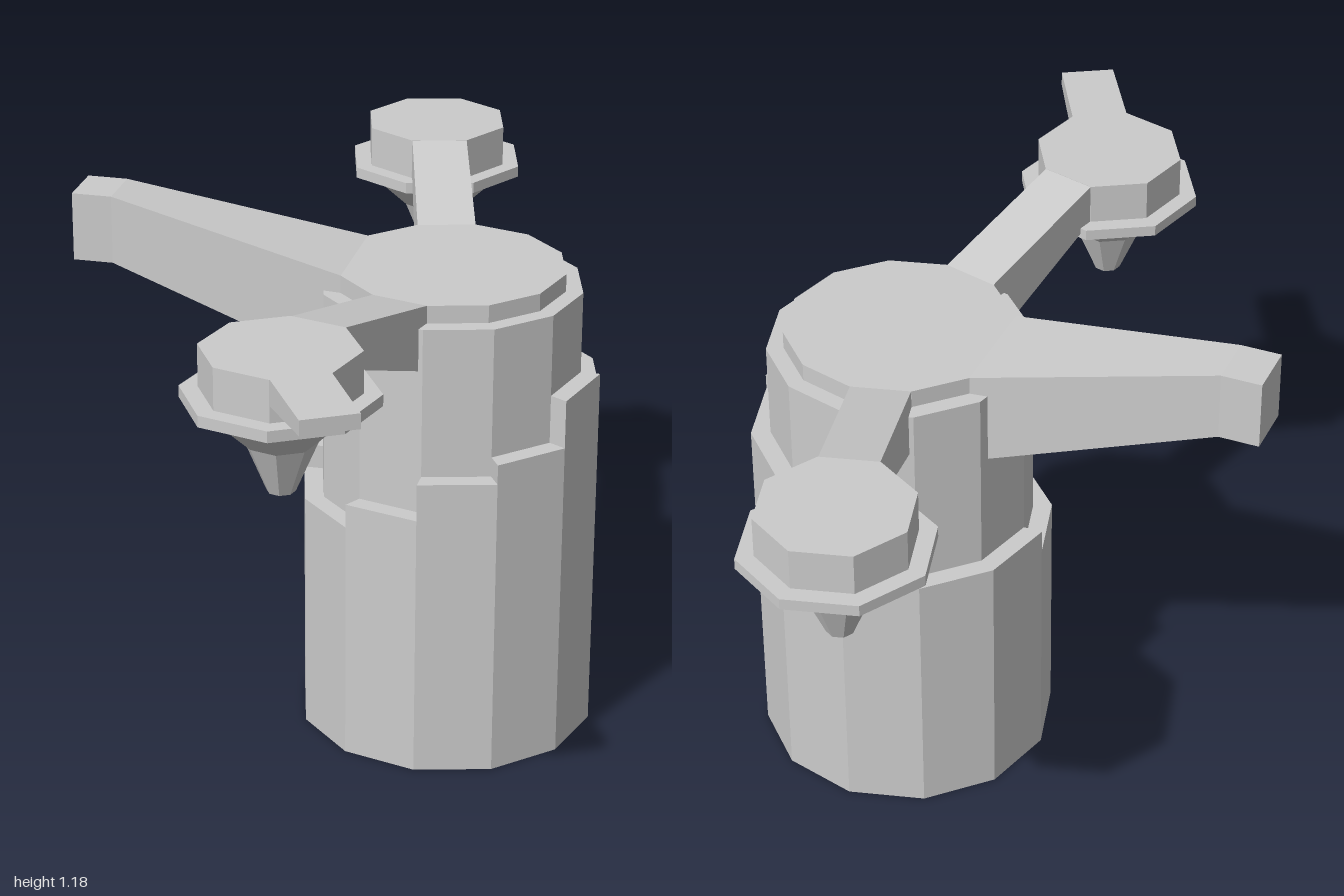
import * as THREE from 'three';

const CENTER = [0.253, -0.07];
const rad = THREE.MathUtils.degToRad;
const material = new THREE.MeshStandardMaterial({ color: 0xcccccc, flatShading: true });

function mesh(name, geometry) {
  const m = new THREE.Mesh(geometry, material);
  m.name = name;
  return m;
}

// Faceted solid from a list of convex polygons with counter-clockwise corners
function facets(polygons) {
  const pos = [];
  for (const p of polygons) {
    for (let i = 1; i < p.length - 1; i++) pos.push(...p[0], ...p[i], ...p[i + 1]);
  }
  const g = new THREE.BufferGeometry();
  g.setAttribute('position', new THREE.Float32BufferAttribute(pos, 3));
  g.computeVertexNormals();
  return g;
}

// Beam along +x; each section is [distance, half width, bottom, top]
function beam(sections) {
  const rings = sections.map(([d, w, lo, hi]) => [[d, lo, w], [d, lo, -w], [d, hi, -w], [d, hi, w]]);
  const faces = [[...rings[0]].reverse(), rings[rings.length - 1]];
  for (let i = 0; i < rings.length - 1; i++) {
    for (let j = 0; j < 4; j++) {
      const k = (j + 1) % 4;
      faces.push([rings[i][j], rings[i][k], rings[i + 1][k], rings[i + 1][j]]);
    }
  }
  return facets(faces);
}

function lathe(points, sides) {
  return new THREE.LatheGeometry(points.map(([r, y]) => new THREE.Vector2(r, y)), sides);
}

// Outer shell whose panels end at different heights
function steppedShell(heights, rIn, rOut) {
  const n = heights.length;
  const at = (r, k, y) => {
    const a = (k / n) * Math.PI * 2;
    return [r * Math.cos(a), y, r * Math.sin(a)];
  };
  const faces = [];
  heights.forEach((h, k) => {
    const next = heights[(k + 1) % n];
    faces.push([at(rOut, k + 1, 0), at(rOut, k, 0), at(rOut, k, h), at(rOut, k + 1, h)]); // side
    faces.push([at(rOut, k + 1, h), at(rOut, k, h), at(rIn, k, h), at(rIn, k + 1, h)]); // rim
    faces.push([[0, 0, 0], at(rOut, k, 0), at(rOut, k + 1, 0)]); // underside
    if (next !== h) {
      faces.push([at(rOut, k + 1, h), at(rIn, k + 1, h), at(rIn, k + 1, next), at(rOut, k + 1, next)]); // step
    }
  });
  return facets(faces);
}

// Octagonal pod with a flange and a pointed underside
function pod() {
  const g = lathe([
    [0, 0.84], [0.03, 0.84], [0.077, 0.95], [0.167, 1.035], [0.206, 1.035],
    [0.206, 1.06], [0.167, 1.06], [0.167, 1.152], [0, 1.152],
  ], 8);
  return mesh('pod', g.rotateY(Math.PI / 8));
}

// Side arm reaching out along local +x with the pod at its end
function podArm(name, degrees) {
  const group = new THREE.Group();
  group.name = name;
  group.rotation.y = -rad(degrees);
  group.add(mesh('strut', beam([[0.243, 0.065, 0.925, 1.075], [0.6, 0.063, 1.06, 1.152]])));
  const end = new THREE.Group();
  end.name = 'podEnd';
  end.position.x = 0.751;
  end.add(pod());
  group.add(end);
  return { group, end };
}

export function createModel() {
  const model = new THREE.Group();
  model.name = 'tower';
  const body = new THREE.Group();
  body.name = 'body';
  body.position.set(CENTER[0], 0, CENTER[1]);
  model.add(body);

  // Base and inner column with its raised cap
  const heights = [0.85, 0.74, 0.695, 0.61, 0.555, 0.555, 0.61, 0.61, 0.7, 0.75, 0.815, 0.815];
  body.add(mesh('steppedBase', steppedShell(heights, 0.29, 0.333)));
  body.add(mesh('column', lathe([[0.29, 0.5], [0.29, 1.035], [0.252, 1.035], [0.252, 1.075], [0, 1.075]], 12)));

  // Broad tapering arm towards -x
  const broad = mesh('broadArm', beam([
    [0.218, 0.126, 0.859, 1.075], [0.753, 0.06, 1.03, 1.185], [0.843, 0.06, 1.03, 1.185],
  ]));
  broad.rotation.y = Math.PI;
  body.add(broad);

  // Pair of pod arms; the front pod carries an extra stub
  const front = podArm('frontPodArm', 105);
  const back = podArm('backPodArm', -105);
  const stub = mesh('stub', beam([[0.15, 0.063, 1.095, 1.152], [0.357, 0.061, 1.119, 1.152]]));
  stub.rotation.y = rad(45);
  front.end.add(stub);
  body.add(front.group, back.group);

  return model;
}
